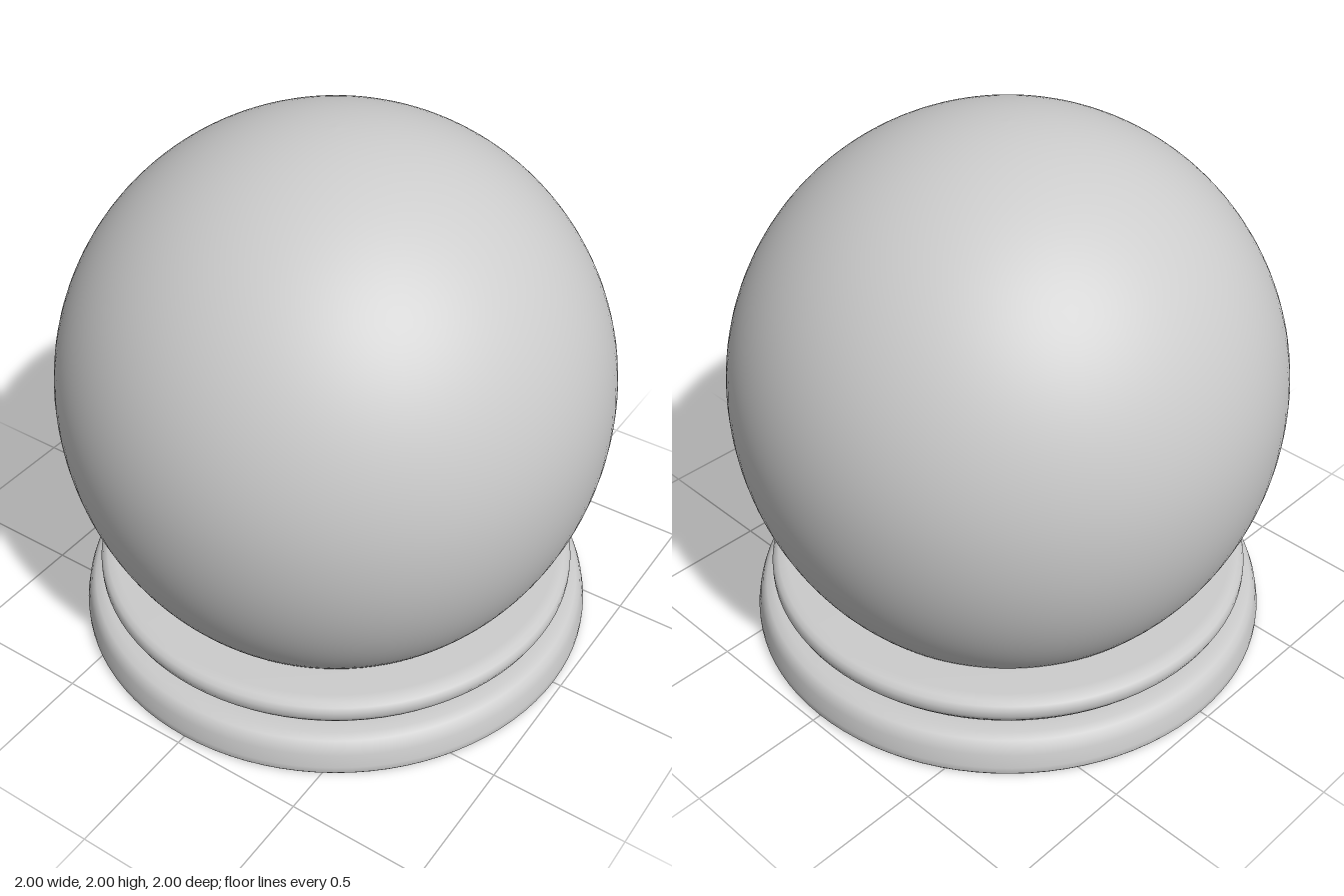
import * as THREE from 'three';

const material = new THREE.MeshStandardMaterial({ color: 0xcccccc });

// Revolve a list of [radius, height] points, listed from bottom to top
function turned(name, points, sides = 96) {
  const profile = points.map(([r, y]) => new THREE.Vector2(r, y));
  const mesh = new THREE.Mesh(new THREE.LatheGeometry(profile, sides), material);
  mesh.name = name;
  return mesh;
}

export function createModel() {
  const group = new THREE.Group();
  group.name = 'snowGlobe';

  // Globe: round above its middle, slightly stretched towards the base
  const globePoints = [];
  const start = -0.76, steps = 56;
  for (let i = 0; i <= steps; i++) {
    const a = start + (Math.PI / 2 - start) * (i / steps);
    globePoints.push([Math.max(0, Math.cos(a)), 1 + Math.sin(a) * (a < 0 ? 1.07 : 1)]);
  }
  group.add(turned('globe', globePoints));

  // Lower plinth with sloping side and rounded shoulder
  group.add(turned('lowerPlinth', [
    [0.965, 0.0], [0.972, 0.01], [0.972, 0.035], [0.962, 0.085], [0.952, 0.112],
    [0.935, 0.13], [0.905, 0.14], [0.86, 0.143], [0.7, 0.143],
  ]));

  // Upper ring, undercut below and rounded above
  group.add(turned('upperRing', [
    [0.8, 0.14], [0.855, 0.143], [0.875, 0.165], [0.895, 0.19], [0.905, 0.212],
    [0.905, 0.235], [0.897, 0.253], [0.88, 0.264], [0.85, 0.269], [0.7, 0.272],
  ]));

  // Flat underside
  const underside = new THREE.Mesh(new THREE.CircleGeometry(0.965, 96), material);
  underside.name = 'underside';
  underside.rotation.x = Math.PI / 2;
  group.add(underside);

  return group;
}
